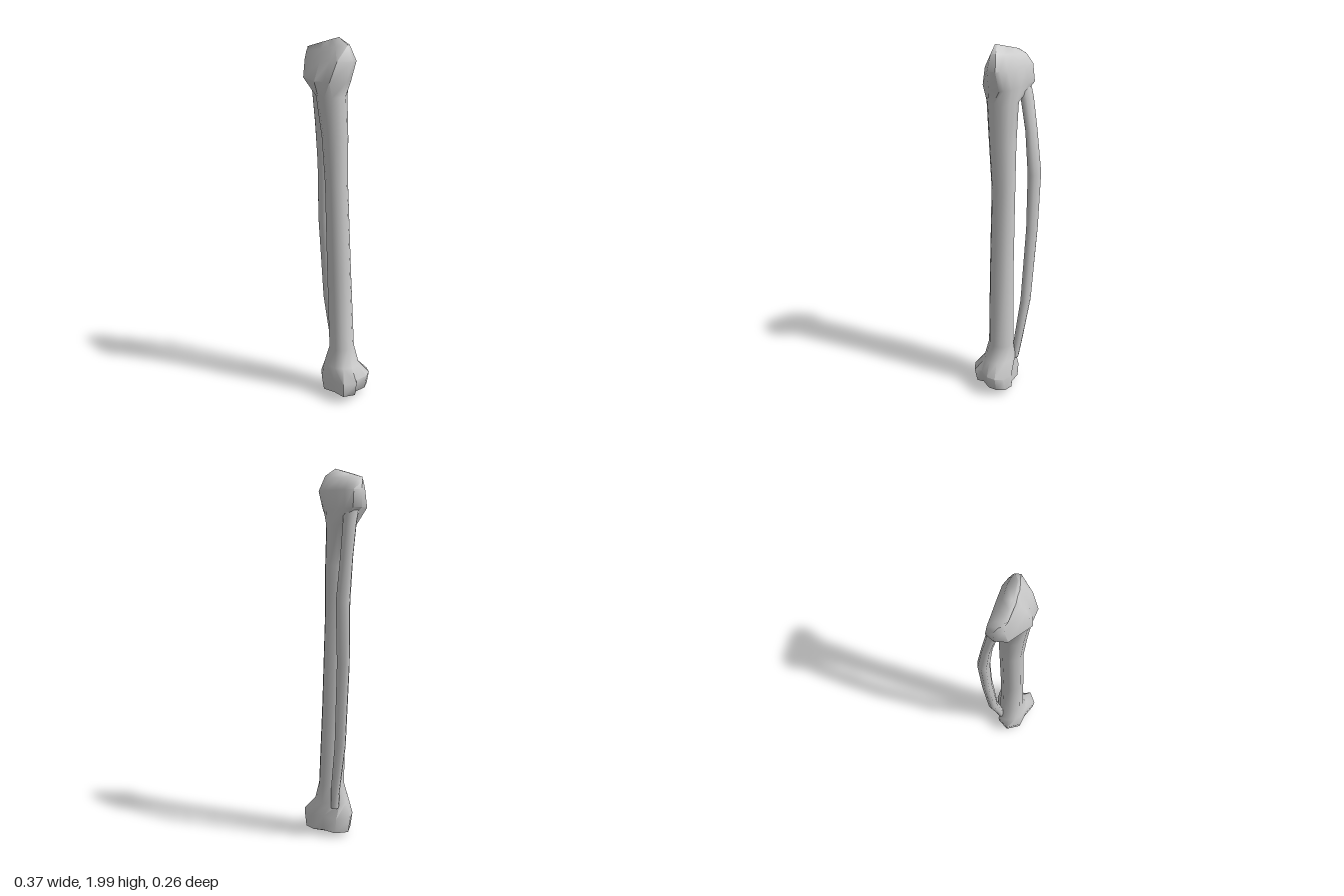
import * as THREE from 'three';
import { toCreasedNormals } from 'three/addons/utils/BufferGeometryUtils.js';

const material = new THREE.MeshStandardMaterial({ color: 0xcccccc });

// Skins equal-length rings of [x, y, z], listed from bottom to top, and closes both ends.
function loft(name, rings, crease) {
  const n = rings[0].length;
  const points = rings.flat();
  const index = [];
  for (let r = 0; r < rings.length - 1; r++) {
    for (let i = 0; i < n; i++) {
      const a = r * n + i, b = r * n + (i + 1) % n;
      index.push(a, a + n, b, b, a + n, b + n);
    }
  }
  const cap = (ring, start, up) => {
    const centre = [0, 1, 2].map((k) => ring.reduce((s, p) => s + p[k], 0) / n);
    const c = points.push(centre) - 1;
    for (let i = 0; i < n; i++) {
      const a = start + i, b = start + (i + 1) % n;
      index.push(c, up ? b : a, up ? a : b);
    }
  };
  cap(rings[0], 0, false);
  cap(rings[rings.length - 1], (rings.length - 1) * n, true);
  const geometry = new THREE.BufferGeometry();
  geometry.setAttribute('position', new THREE.Float32BufferAttribute(points.flat(), 3));
  geometry.setIndex(index);
  geometry.computeVertexNormals();
  const mesh = new THREE.Mesh(toCreasedNormals(geometry, crease), material);
  mesh.name = name;
  return mesh;
}

// A ring fitting an outline into the given x and z limits; tilt raises it towards +x.
function fitRing(outline, [y, x0, x1, z0, z1, tilt = 0]) {
  const xs = outline.map((p) => p[0]), zs = outline.map((p) => p[1]);
  const fit = (v, list, lo, hi) => {
    const min = Math.min(...list), max = Math.max(...list);
    return lo + (hi - lo) * (v - min) / (max - min);
  };
  return outline.map(([px, pz]) => {
    const x = fit(px, xs, x0, x1);
    return [x, y + tilt * (x - (x0 + x1) / 2), fit(pz, zs, z0, z1)];
  });
}

const circle = (n) => Array.from({ length: n }, (_, i) => {
  const a = i / n * Math.PI * 2;
  return [Math.cos(a), Math.sin(a)];
});

export function createModel() {
  const group = new THREE.Group();
  group.name = 'lowerLegBones';

  // Outlines seen from above, running from +x towards +z
  const round = circle(12);
  const ankle = [[0.185, -0.02], [0.155, 0.045], [0.17, 0.085], [0.112, 0.13], [0.03, 0.095], [-0.05, 0.08],
    [-0.095, 0], [-0.05, -0.07], [0.03, -0.085], [0.08, -0.117], [0.14, -0.112], [0.175, -0.07]];
  const knee = [[0.1, -0.02], [0.105, 0.04], [0.045, 0.12], [0, 0.105], [-0.05, 0.12], [-0.17, 0.04],
    [-0.185, -0.02], [-0.16, -0.065], [-0.1, -0.062], [-0.04, -0.06], [0.04, -0.055], [0.08, -0.035]];

  // Main bone: ankle block, shaft and wedge-shaped knee head; rows are y, x0, x1, z0, z1, tilt
  const shinRows = [
    [ankle, [0.012, 0.01, 0.08, -0.02, 0.02]],
    [ankle, [0.045, -0.085, 0.17, -0.11, 0.12, 0.08]],
    [ankle, [0.125, -0.098, 0.185, -0.112, 0.13, 0.08]],
    [round, [0.2, -0.067, 0.135, -0.08, 0.09]],
    [round, [0.3, -0.037, 0.1, -0.075, 0.07]],
    [round, [0.75, -0.047, 0.083, -0.062, 0.07]],
    [round, [1.25, -0.058, 0.062, -0.06, 0.068]],
    [round, [1.5, -0.07, 0.065, -0.06, 0.085]],
    [round, [1.71, -0.095, 0.063, -0.06, 0.105]],
    [knee, [1.79, -0.185, 0.075, -0.068, 0.12, -0.05]],
    [knee, [1.885, -0.185, 0.105, -0.058, 0.085]],
    [knee, [1.945, -0.172, 0.075, -0.025, 0.06, 0.15]],
    [knee, [1.975, -0.15, 0.03, 0.02, 0.042, 0.28]],
  ];
  group.add(loft('shinBone', shinRows.map(([o, row]) => fitRing(o, row)), 1.0));

  // Slim bone bowing out behind the shaft, its ends sunk into the main bone
  const slim = circle(8);
  const slimRows = [
    [0.18, -0.055, -0.01, -0.075, -0.03],
    [0.28, -0.07, -0.02, -0.088, -0.04],
    [0.55, -0.125, -0.06, -0.108, -0.055],
    [1.0, -0.162, -0.085, -0.122, -0.068],
    [1.32, -0.168, -0.085, -0.134, -0.07],
    [1.55, -0.168, -0.09, -0.102, -0.05],
    [1.72, -0.168, -0.085, -0.076, -0.02],
    [1.83, -0.165, -0.07, -0.05, 0.02],
  ];
  group.add(loft('calfBone', slimRows.map((row) => fitRing(slim, row)), 1.2));

  return group;
}
